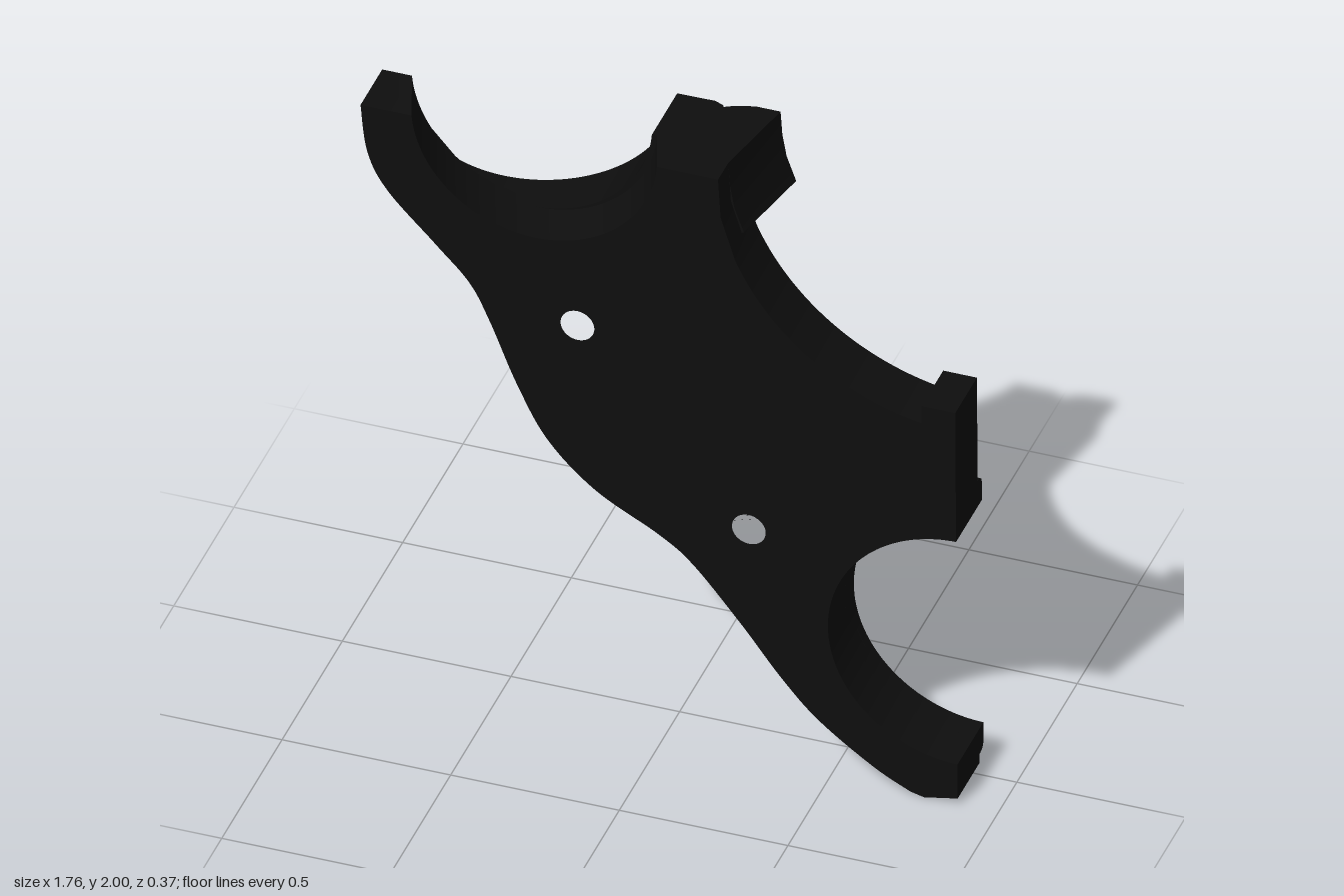
import * as THREE from 'three';
import { toCreasedNormals } from 'three/addons/utils/BufferGeometryUtils.js';

const FRONT = 0.17, BACK = -0.01;
const bore = { x: -0.365, y: 2.03, r: 0.365 };
const lower = { x: 0.885, y: 0.525, r: 0.387 };
const holes = [[-0.24, 1.39], [0.265, 0.805]];

// Move every vertex by a rule
function bend(geo, rule) {
  const p = geo.attributes.position, v = new THREE.Vector3();
  for (let i = 0; i < p.count; i++) {
    v.fromBufferAttribute(p, i);
    rule(v);
    p.setXYZ(i, v.x, v.y, v.z);
  }
  return geo;
}

// The whole bracket leans slightly from bottom to top
const lean = v => { v.z += (v.y - 1) * 0.015; };

// Raised collar on the back: a cross-section swept along an arc
function collar({ x, y, r, a0, a1, outer, height, limit }) {
  const pos = [], idx = [], N = 64, M = 7;
  for (let i = 0; i <= N; i++) {
    const a = THREE.MathUtils.lerp(a0, a1, i / N), w = outer(a) - r;
    const section = [[0, -1], [0, 1], [0.68, 1], [0.85, 0.93], [0.95, 0.72], [1, 0.35], [1, -1]];
    for (const [s, h] of section) {
      const v = new THREE.Vector3(x + Math.cos(a) * (r + w * s), y + Math.sin(a) * (r + w * s), 0);
      limit(v);
      v.z = h < 0 ? 0.03 : -height(v.x) * h;
      pos.push(v.x, v.y, v.z);
    }
  }
  for (let i = 0; i < N; i++) for (let j = 0; j < M; j++) {
    const k = (j + 1) % M, a = i * M, b = a + M;
    idx.push(a + j, b + j, a + k, b + j, b + k, a + k);
  }
  for (let k = 1; k < M - 1; k++) {
    idx.push(0, k, k + 1);
    idx.push(N * M, N * M + k + 1, N * M + k);
  }
  const geo = new THREE.BufferGeometry();
  geo.setAttribute('position', new THREE.Float32BufferAttribute(pos, 3));
  geo.setIndex(idx);
  return geo;
}

function plateGeometry() {
  const s = new THREE.Shape();
  s.moveTo(-0.88, 2);
  s.lineTo(-0.729, 2);
  s.absarc(bore.x, bore.y, bore.r, Math.PI + 0.082, 2 * Math.PI - 0.082, false);
  s.lineTo(0.18, 2);
  s.lineTo(0.187, 1.87);
  // Large concave side
  s.absarc(0.9, 2.02, 0.73, Math.PI + 0.403, 1.5 * Math.PI - 0.165, false);
  // End lug
  s.lineTo(0.78, 1.36);
  s.lineTo(0.88, 1.36);
  s.lineTo(0.88, 0.912);
  s.absarc(lower.x, lower.y, lower.r, Math.PI / 2 + 0.013, 1.5 * Math.PI - 0.013, false);
  s.lineTo(0.88, 0.02);
  s.lineTo(0.78, 0);
  s.lineTo(0.74, 0.01);
  // Wavy outer edge
  s.splineThru([[0.63, 0.07], [0.47, 0.19], [0.36, 0.31], [0.24, 0.47], [0.1, 0.64], [0, 0.72],
    [-0.19, 0.83], [-0.33, 0.97], [-0.42, 1.14], [-0.5, 1.34], [-0.56, 1.46], [-0.66, 1.57],
    [-0.8, 1.72], [-0.86, 1.84], [-0.88, 2]].map(p => new THREE.Vector2(...p)));
  for (const [x, y] of holes) s.holes.push(new THREE.Path().absarc(x, y, 0.05, 0, Math.PI * 2, true));

  const geo = new THREE.ExtrudeGeometry(s, { depth: FRONT - BACK, bevelEnabled: false, curveSegments: 40 });
  geo.translate(0, 0, BACK);
  return bend(geo, v => {
    // Slanted bore
    if (Math.abs(Math.hypot(v.x - bore.x, v.y - bore.y) - bore.r) < 0.004) v.x += 0.35 * (v.z - FRONT);
    // Holes widen toward the back
    for (const [x, y] of holes) {
      if (v.z < 0 && Math.hypot(v.x - x, v.y - y) < 0.06) {
        v.x = x + (v.x - x) * 1.6;
        v.y = y + (v.y - y) * 1.6;
      }
    }
  });
}

function hornGeometry() {
  const s = new THREE.Shape([[0.03, 2], [0.1, 2], [0.16, 2], [0.235, 2], [0.24, 1.92], [0.252, 1.85],
    [0.28, 1.77], [0.22, 1.73], [0.12, 1.71], [0.03, 1.74]].map(p => new THREE.Vector2(...p)));
  const geo = new THREE.ExtrudeGeometry(s, { depth: 0.28, bevelEnabled: false });
  geo.translate(0, 0, -0.195);
  return bend(geo, v => {
    // Flares toward the back and dips where it meets the collar
    const back = v.z < 0;
    if (back && v.x < 0.05) v.z += 0.06;
    else if (back && v.x < 0.13) v.z += 0.02;
    if (!back) v.x -= 0.055;
  });
}

export function createModel() {
  const group = new THREE.Group();
  const black = new THREE.MeshStandardMaterial({ color: 0x0e0e0e });
  black.name = 'black';
  const add = (name, geo) => {
    const mesh = new THREE.Mesh(toCreasedNormals(bend(geo, lean), 0.6), black);
    mesh.name = name;
    group.add(mesh);
  };

  add('plate', plateGeometry());
  add('horn', hornGeometry());

  // Collar around the upper bore rises toward the horn
  add('upperCollar', collar({
    x: -0.43, y: bore.y, r: bore.r, a0: 3.5, a1: 2 * Math.PI - 0.04,
    outer: a => THREE.MathUtils.lerp(0.46, 0.53, THREE.MathUtils.smoothstep(a, 3.5, 4.3)),
    height: x => 0.182 * Math.sin(THREE.MathUtils.clamp((x + 0.68) / 0.68, 0, 1) * Math.PI / 2),
    limit: v => { v.y = Math.min(v.y, 2); },
  }));

  // Low even collar around the lower bore
  add('lowerCollar', collar({
    ...lower, a0: Math.PI / 2 + 0.01, a1: 1.5 * Math.PI - 0.01,
    outer: () => 0.475,
    height: () => 0.045,
    limit: v => { v.x = Math.min(v.x, 0.88); },
  }));
  return group;
}
